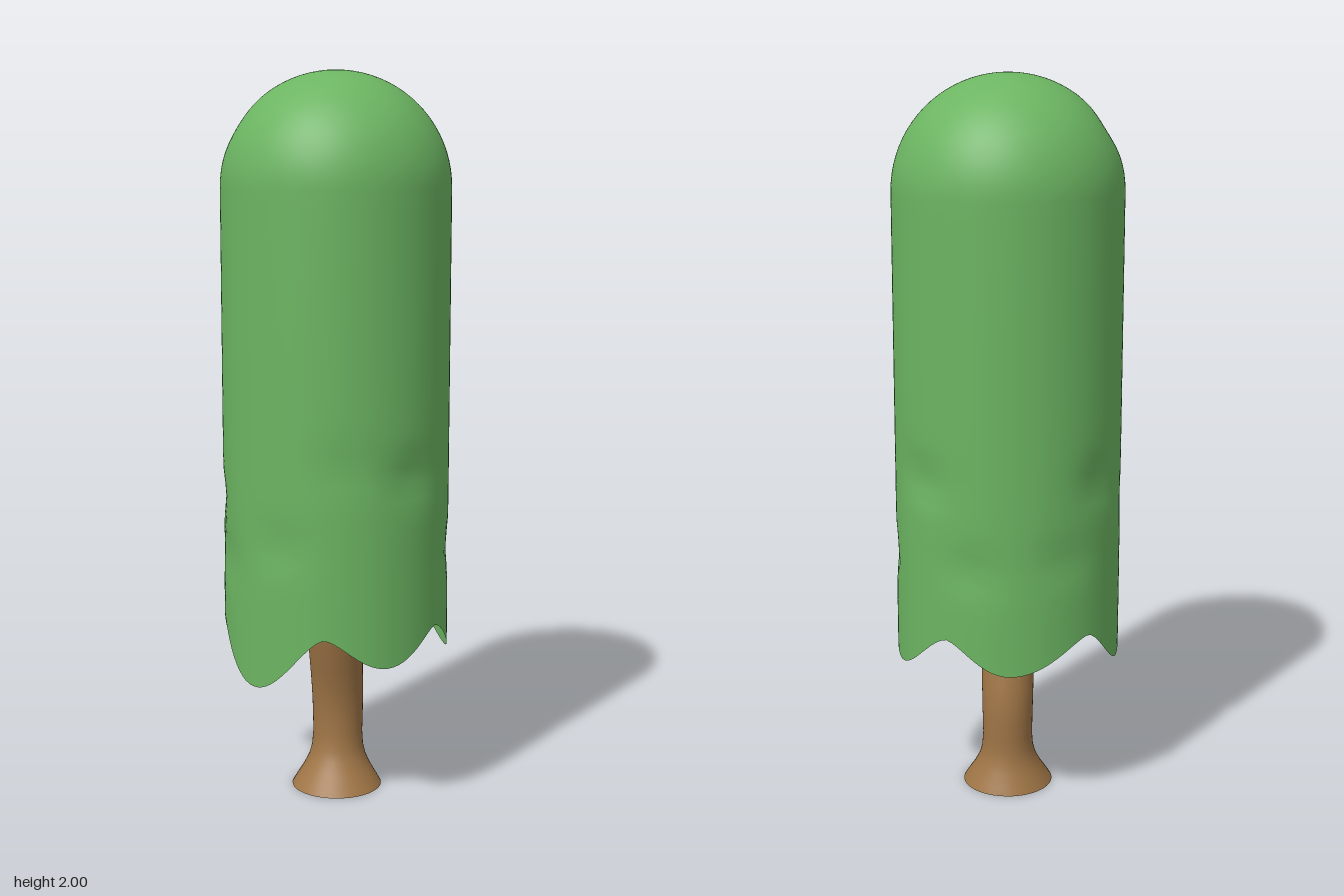
import * as THREE from 'three';
import { mergeVertices } from 'three/addons/utils/BufferGeometryUtils.js';

const RADIUS = 0.312;

// Hem of the canopy: alternating notches and lobes, [degrees from +z towards +x, height]
const HEM = [
  [4, 0.517], [36, 0.432], [69, 0.517], [110, 0.402], [150, 0.52],
  [183, 0.432], [226, 0.52], [258, 0.405], [286, 0.52], [325, 0.363], [364, 0.517],
];

// Shallow dents in the foliage: [degrees, height, depth]
const DENTS = [
  [-88, 1.86, 0.01], [50, 0.94, 0.014], [135, 0.95, 0.014], [-125, 0.94, 0.014],
  [-20, 0.76, 0.008], [15, 0.97, 0.006], [90, 0.7, 0.009], [165, 0.72, 0.01],
  [-60, 0.7, 0.01], [-150, 0.74, 0.008], [-75, 0.85, 0.008],
];

function hemHeight(deg) {
  const a = 4 + ((((deg - 4) % 360) + 360) % 360);
  let i = 0;
  while (i < HEM.length - 2 && a > HEM[i + 1][0]) i++;
  const [a0, y0] = HEM[i], [a1, y1] = HEM[i + 1];
  // eased so lobes are broad and notches narrow
  let t = (a - a0) / (a1 - a0);
  const fromNotch = y0 > y1 ? t : 1 - t;
  const s = (1 - Math.cos(Math.PI * Math.pow(fromNotch, 0.8))) / 2;
  return Math.max(y0, y1) - Math.abs(y0 - y1) * s;
}

function canopyGeometry() {
  const profile = [];
  for (let i = 0; i <= 28; i++) profile.push(new THREE.Vector2(RADIUS, 0.43 + (1.69 - 0.43) * i / 28));
  for (let i = 1; i <= 20; i++) {
    const a = (i / 20) * Math.PI / 2;
    profile.push(new THREE.Vector2(i === 20 ? 0 : RADIUS * Math.cos(a), 1.69 + 0.31 * Math.sin(a)));
  }
  let geo = new THREE.LatheGeometry(profile, 120);
  const p = geo.attributes.position;
  for (let i = 0; i < p.count; i++) {
    const x = p.getX(i), z = p.getZ(i), y0 = p.getY(i);
    const deg = THREE.MathUtils.radToDeg(Math.atan2(x, z));
    // stretch the lower part down to the scalloped hem
    const t = Math.max(0, (0.9 - y0) / 0.47);
    const y = t > 0 ? 0.9 - t * (0.9 - hemHeight(deg)) : y0;
    let k = 1;
    for (const [d, h, depth] of DENTS) {
      const da = ((deg - d + 540) % 360 - 180) / 16, dy = (y - h) / 0.055;
      k -= depth / RADIUS * Math.exp(-da * da - dy * dy);
    }
    p.setXYZ(i, x * k, y, z * k);
  }
  geo.deleteAttribute('uv');
  geo.deleteAttribute('normal');
  geo = mergeVertices(geo, 1e-5);
  geo.computeVertexNormals();
  return geo;
}

// Trunk stays upright in x and sways in z; the foot flares out
function trunkGeometry() {
  const sway = new THREE.CatmullRomCurve3([
    [0, -0.012], [0.12, -0.028], [0.25, -0.03], [0.41, 0.006], [0.5, 0.025], [0.7, 0.04], [1, 0.03],
  ].map(([y, z]) => new THREE.Vector3(0, y, z)));
  const flare = [[0, 0.127], [0.02, 0.115], [0.05, 0.096], [0.08, 0.081], [0.11, 0.073], [0.15, 0.07]];
  const profile = flare.map(([y, r]) => new THREE.Vector2(r, y));
  for (let i = 1; i <= 17; i++) profile.push(new THREE.Vector2(0.07 + 0.008 * Math.min(1, i / 7), 0.15 + 0.05 * i));
  let geo = new THREE.LatheGeometry(profile, 40);
  const path = sway.getPoints(200);
  const p = geo.attributes.position;
  for (let i = 0; i < p.count; i++) {
    const y = p.getY(i);
    const q = path.find(v => v.y >= y - 1e-6) || path[path.length - 1];
    p.setZ(i, p.getZ(i) + q.z);
  }
  geo.deleteAttribute('uv');
  geo.deleteAttribute('normal');
  geo = mergeVertices(geo, 1e-5);
  geo.computeVertexNormals();
  return geo;
}

export function createModel() {
  const model = new THREE.Group();
  model.name = 'tree';
  const add = (name, geo, mat) => {
    const mesh = new THREE.Mesh(geo, mat);
    mesh.name = name;
    model.add(mesh);
    return mesh;
  };
  const bark = new THREE.MeshStandardMaterial({ color: 0x9f7546 });
  const leaves = new THREE.MeshStandardMaterial({ color: 0x6cb562, side: THREE.DoubleSide });

  add('canopy', canopyGeometry(), leaves);
  add('trunk', trunkGeometry(), bark);

  // Flat ends of the trunk
  const foot = add('trunkFoot', new THREE.CircleGeometry(0.127, 40), bark);
  foot.rotation.x = Math.PI / 2;
  foot.position.z = -0.012;
  const top = add('trunkTop', new THREE.CircleGeometry(0.078, 40), bark);
  top.rotation.x = -Math.PI / 2;
  top.position.set(0, 1, 0.03);
  return model;
}
